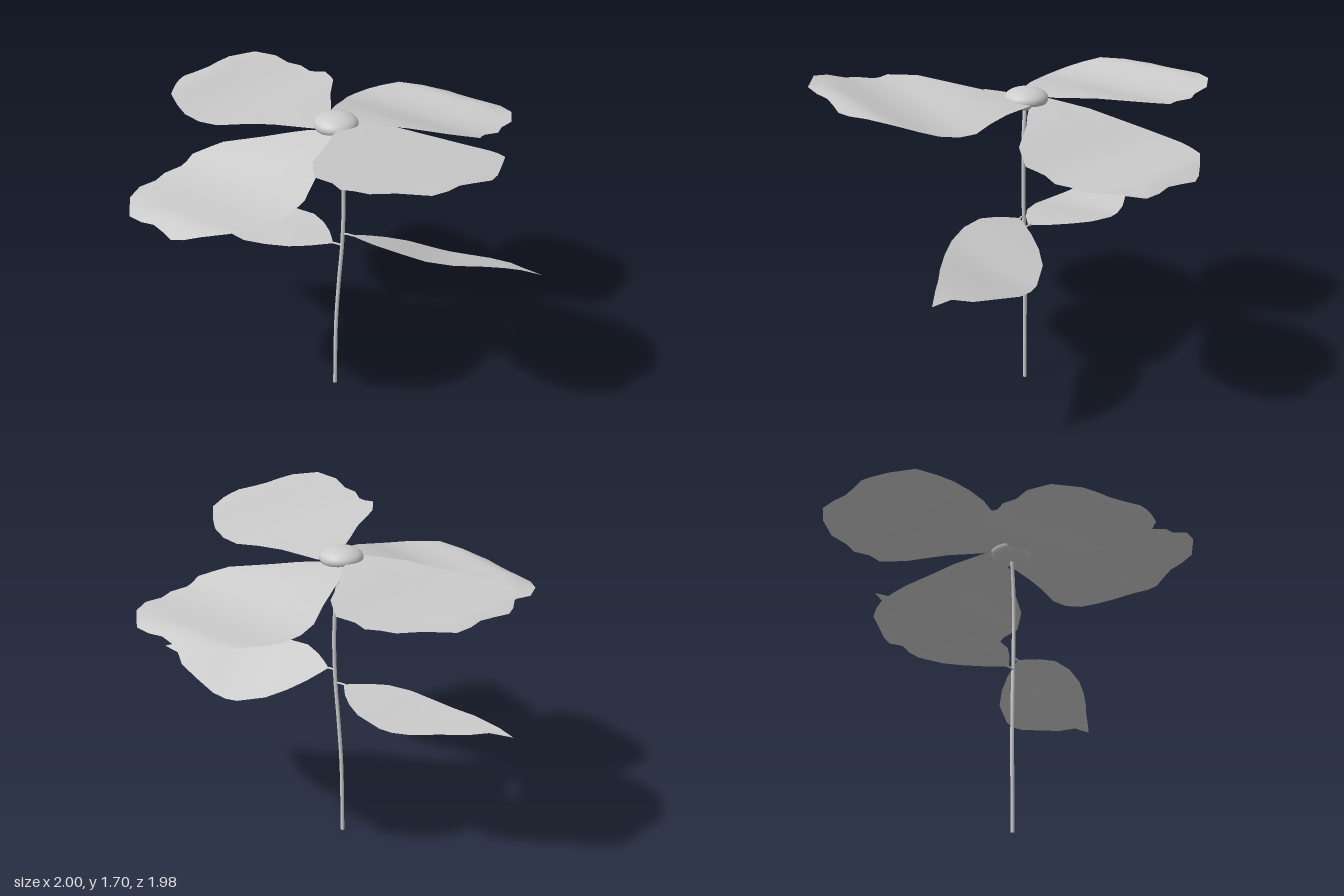
import * as THREE from 'three';

const material = new THREE.MeshStandardMaterial({ color: 0xcccccc });
const thinMaterial = new THREE.MeshStandardMaterial({ color: 0xcccccc, side: THREE.DoubleSide });

// Blade outlines as [along, across], base to tip on one side and back on the other
const petalOutline = [
  [0.1, 0.1], [0.15, 0.17], [0.22, 0.26], [0.33, 0.44], [0.39, 0.49], [0.45, 0.535], [0.5, 0.52],
  [0.54, 0.515], [0.62, 0.545], [0.69, 0.525], [0.78, 0.535], [0.88, 0.48], [0.97, 0.37], [0.975, 0.28],
  [0.965, 0.2], [0.98, 0.12], [1, 0.04], [0.98, -0.02], [0.94, -0.09], [0.87, -0.2], [0.78, -0.255],
  [0.7, -0.29], [0.6, -0.3], [0.5, -0.285], [0.38, -0.23], [0.25, -0.18], [0.05, -0.1], [0.06, 0],
];
const leafOutline = [
  [0.04, 0.008], [0.07, 0.04], [0.12, 0.09], [0.2, 0.15], [0.32, 0.19], [0.45, 0.205], [0.58, 0.19],
  [0.73, 0.156], [0.82, 0.13], [0.9, 0.113], [1, 0.09], [0.9, 0.037], [0.84, -0.04], [0.73, -0.11],
  [0.6, -0.18], [0.52, -0.205], [0.45, -0.215], [0.3, -0.2], [0.2, -0.15], [0.12, -0.09], [0.07, -0.04], [0.04, -0.008],
];

// Heights at even steps along a blade
const petalWave = [0, 0, 0, -0.005, -0.02, -0.035, -0.037, -0.028, -0.01, 0.005, -0.015];
const leafWave = [0, 0, -0.003, -0.01, -0.022, -0.028, -0.02, -0.004, 0.006, 0.01, 0];

// Thin wavy blade: concentric rings of the outline, turned by yaw and leaned by slopes in x and z
function blade(name, outline, wave, center, { at, yaw, slopeX = 0, slopeZ = 0, mirror = 1 }) {
  const curve = new THREE.SplineCurve(wave.map((h, i) => new THREE.Vector2(i / (wave.length - 1), h)));
  const rings = 10, n = outline.length;
  const positions = [], index = [];
  const c = Math.cos(yaw), s = Math.sin(yaw);

  const addPoint = (u, w) => {
    w *= mirror;
    const x = u * c + w * s, z = -u * s + w * c;
    const h = curve.getPoint(THREE.MathUtils.clamp(u, 0, 1)).y;
    positions.push(x, h + slopeX * x + slopeZ * z, z);
  };

  addPoint(...center);
  for (let r = 1; r <= rings; r++) {
    const t = r / rings;
    for (const [u, w] of outline) {
      addPoint(center[0] + (u - center[0]) * t, center[1] + (w - center[1]) * t);
    }
  }
  const tri = (a, b, d) => (mirror > 0 ? index.push(a, b, d) : index.push(a, d, b));
  for (let i = 0; i < n; i++) {
    const j = (i + 1) % n;
    tri(0, 1 + i, 1 + j);
    for (let r = 0; r < rings - 1; r++) {
      const a = 1 + r * n, b = a + n;
      tri(a + i, b + i, b + j);
      tri(a + i, b + j, a + j);
    }
  }

  const geometry = new THREE.BufferGeometry();
  geometry.setAttribute('position', new THREE.Float32BufferAttribute(positions, 3));
  geometry.setIndex(index);
  geometry.computeVertexNormals();
  const mesh = new THREE.Mesh(geometry, thinMaterial);
  mesh.name = name;
  mesh.position.set(...at);
  return mesh;
}

function tube(name, points, radius, segments) {
  const path = new THREE.CatmullRomCurve3(points.map((p) => new THREE.Vector3(...p)));
  const mesh = new THREE.Mesh(new THREE.TubeGeometry(path, segments, radius, 10), material);
  mesh.name = name;
  return mesh;
}

export function createModel() {
  const model = new THREE.Group();
  model.name = 'flower';

  // Gently bent stem with a closed foot
  model.add(tube('stem', [
    [0, 0, 0.01], [0.004, 0.4, 0.005], [0.015, 0.65, -0.004], [0.031, 0.9, -0.012],
    [0.036, 1.15, -0.013], [0.026, 1.35, -0.006], [0, 1.53, 0.005],
  ], 0.01, 40));
  const foot = new THREE.Mesh(new THREE.CircleGeometry(0.01, 10), material);
  foot.name = 'stemFoot';
  foot.rotation.x = Math.PI / 2;
  foot.position.z = 0.01;
  model.add(foot);

  // Flattened flower centre
  const center = new THREE.Mesh(new THREE.SphereGeometry(0.108, 32, 20), material);
  center.name = 'flowerCenter';
  center.scale.y = 0.5;
  center.position.y = 1.543;
  model.add(center);

  // Four petals, each leaning its own way
  const petals = [
    { name: 'rightPetal', yaw: Math.PI },
    { name: 'backPetal', yaw: Math.PI / 2, slopeZ: 0.165 },
    { name: 'leftPetal', yaw: -0.21, slopeX: 0.09, slopeZ: 0.13 },
    { name: 'frontPetal', yaw: -Math.PI / 2 - 0.14, slopeX: 0.14, slopeZ: -0.185 },
  ];
  for (const { name, ...pose } of petals) {
    model.add(blade(name, petalOutline, petalWave, [0.58, 0.1], { at: [0, 1.54, 0], ...pose }));
  }

  // Two leaves on short stalks
  model.add(blade('leftLeaf', leafOutline, leafWave, [0.45, 0],
    { at: [0.04, 0.945, -0.005], yaw: 0.4, slopeX: 0.08, slopeZ: 0.42 }));
  model.add(blade('rightLeaf', leafOutline, leafWave, [0.45, 0],
    { at: [0.015, 0.87, 0], yaw: Math.PI, mirror: -1 }));
  model.add(tube('leftLeafStalk', [[0.03, 0.935, -0.012], [0.055, 0.942, -0.015], [0.09, 0.938, -0.025]], 0.005, 8));
  model.add(tube('rightLeafStalk', [[0.029, 0.87, -0.01], [0, 0.872, -0.005], [-0.04, 0.87, 0]], 0.005, 8));

  return model;
}
